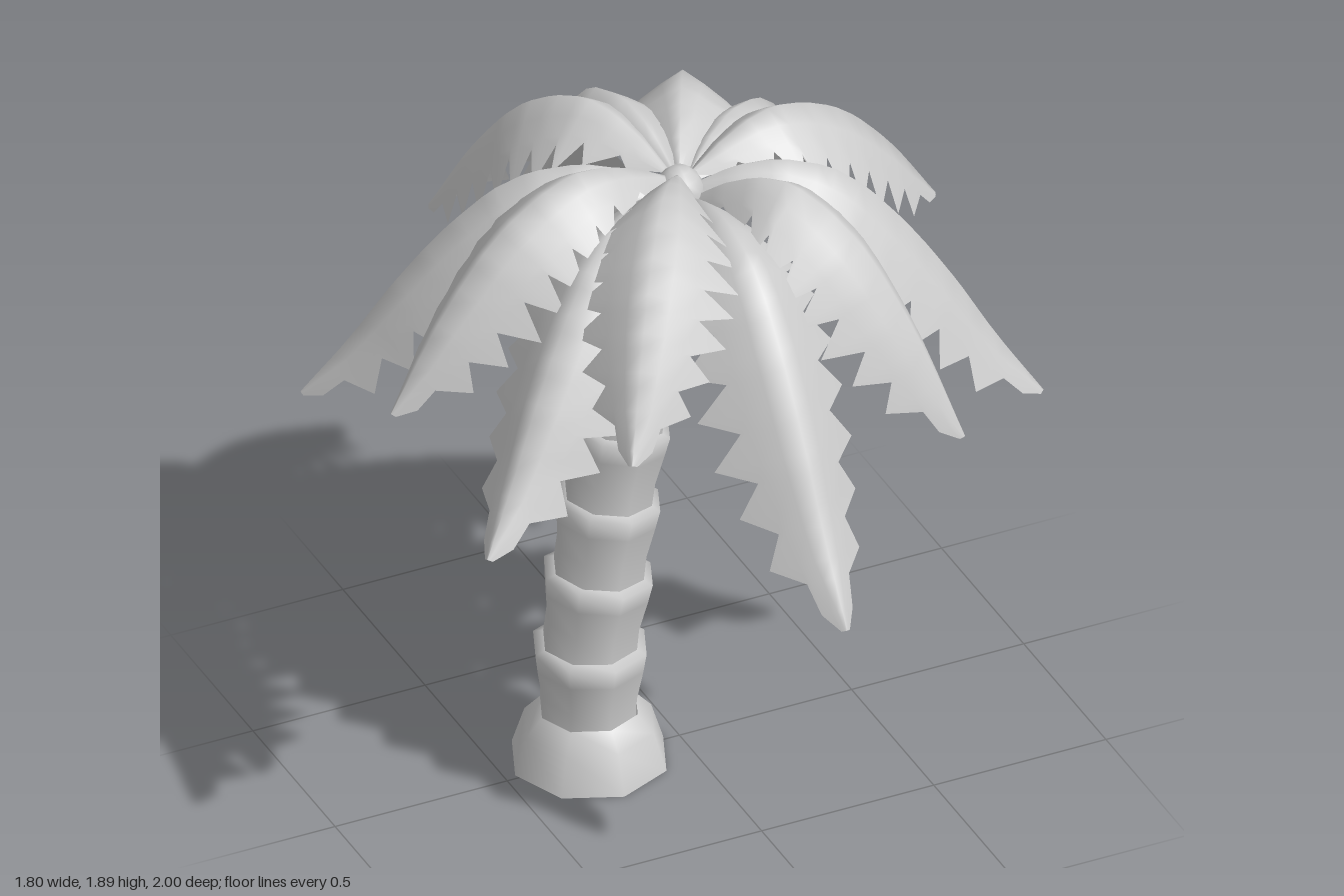
import * as THREE from 'three';

const grey = new THREE.MeshStandardMaterial({ color: 0xcccccc, side: THREE.DoubleSide });
grey.name = 'plain grey';

// Linear lookup in a list of [position, value] pairs
function lookup(table, u) {
  for (let i = 1; i < table.length; i++) {
    const [u0, v0] = table[i - 1], [u1, v1] = table[i];
    if (u <= u1) return v0 + (v1 - v0) * Math.max(0, (u - u0) / (u1 - u0));
  }
  return table[table.length - 1][1];
}

// Half width along the leaf, and the fall of the ridge from its peak to its tip
const WIDTH = [[0, 0.02], [0.1, 0.085], [0.3, 0.18], [0.45, 0.205], [0.64, 0.195], [0.76, 0.16], [0.86, 0.125], [0.94, 0.06], [1, 0.012]];
const UPPER = [[0.05, 0.2], [0.2, 0.06], [0.37, 0], [0.6, 0.16], [0.8, 0.5], [1, 1]];
const LOWER = [[0.04, 0.08], [0.15, 0.02], [0.27, 0], [0.44, 0.06], [0.6, 0.25], [0.75, 0.51], [0.87, 0.76], [1, 1]];

// Arched leaf with a roof-like section and saw-toothed edges
function frondGeometry(length, peak, tip, fall) {
  const ridge = new THREE.CatmullRomCurve3(
    fall.map(([r, d]) => new THREE.Vector3(0, peak - (peak - tip) * d, r * length)));
  const teeth = 10, stations = [];
  for (let k = 0; k < teeth; k++) stations.push([k / teeth, 0.66], [(k + 0.62) / teeth, 1.06]);
  stations.push([1, 1]);
  const pos = [], index = [];
  stations.forEach(([u, cut], i) => {
    const p = ridge.getPointAt(u), t = ridge.getTangentAt(u), w = lookup(WIDTH, u);
    [-cut, -0.55, -0.28, 0, 0.28, 0.55, cut].forEach((s, j) => {
      const drop = w * (0.6 * Math.abs(s) + 0.2 * s * s);
      pos.push(s * w, p.y - t.z * drop, p.z + t.y * drop);
      if (i > 0 && j > 0) {
        const d = i * 7 + j, b = d - 1, c = d - 7, a = c - 1;
        index.push(a, b, c, b, d, c);
      }
    });
  });
  const g = new THREE.BufferGeometry();
  g.setAttribute('position', new THREE.Float32BufferAttribute(pos, 3));
  g.setIndex(index);
  g.computeVertexNormals();
  return g;
}

function add(parent, name, geometry, x = 0, y = 0, z = 0) {
  const mesh = new THREE.Mesh(geometry, grey);
  mesh.name = name;
  mesh.position.set(x, y, z);
  parent.add(mesh);
  return mesh;
}

function lathe(points) {
  return new THREE.LatheGeometry(points.map(([r, y]) => new THREE.Vector2(r, y)), 8);
}

export function createModel() {
  const model = new THREE.Group();
  model.name = 'palmTree';
  const Z = -0.015;

  // Flared foot, open underneath
  add(model, 'trunkFoot', lathe([[0.215, 0], [0.18, 0.11], [0.135, 0.16]]), -0.255, 0, Z);

  // Leaning trunk of stacked, flared rings
  const joints = [[-0.258, 0.13], [-0.253, 0.355], [-0.228, 0.575], [-0.2, 0.8], [-0.165, 1.02], [-0.13, 1.23], [-0.09, 1.44], [-0.05, 1.62]];
  const up = new THREE.Vector3(0, 1, 0);
  for (let i = 0; i + 1 < joints.length; i++) {
    const [x0, y0] = joints[i], [x1, y1] = joints[i + 1];
    const dir = new THREE.Vector3(x1 - x0, y1 - y0, 0), h = dir.length();
    const low = 0.135 - i * 0.0045, top = 0.158 - i * 0.006;
    const ring = add(model, 'trunkRing' + (i + 1),
      lathe([[low, -0.01], [low * 0.99, h * 0.35], [top * 0.95, h * 0.75], [top, h], [low * 0.9, h + 0.012]]), x0, y0, Z);
    ring.quaternion.setFromUnitVectors(up, dir.normalize());
  }

  // Crown bud and nuts under the leaves
  add(model, 'crownBud', new THREE.SphereGeometry(0.07, 12, 8), 0, 1.7, 0).scale.y = 1.3;
  [[-0.06, 1.6, -0.15], [0.06, 1.57, 0.05]].forEach(([x, y, z], i) =>
    add(model, 'nut' + (i + 1), new THREE.SphereGeometry(0.08, 16, 12), x, y, z));

  // Leaves: tip x, tip z, tip height, peak height
  const upper = [[0.82, -0.16, 1.38, 1.86], [0.51, 0.67, 1.2, 1.84], [-0.48, 0.72, 1.42, 1.89],
    [-0.9, 0.13, 1.35, 1.89], [-0.37, -0.75, 1.33, 1.88], [0.37, -0.74, 1.33, 1.85]];
  const lower = [[0.01, 1, 0.93, 1.79], [0.9, 0.33, 1.03, 1.8], [0.82, -0.6, 0.92, 1.8],
    [-0.11, -1, 0.86, 1.85], [-0.9, -0.42, 1.09, 1.8], [-0.82, 0.55, 1.12, 1.8]];
  const layer = (list, fall, name) => list.forEach(([x, z, tip, peak], i) => {
    const leaf = add(model, name + (i + 1), frondGeometry(Math.hypot(x, z), peak, tip, fall));
    leaf.rotation.y = Math.atan2(x, z);
  });
  layer(upper, UPPER, 'upperFrond');
  layer(lower, LOWER, 'lowerFrond');
  return model;
}
